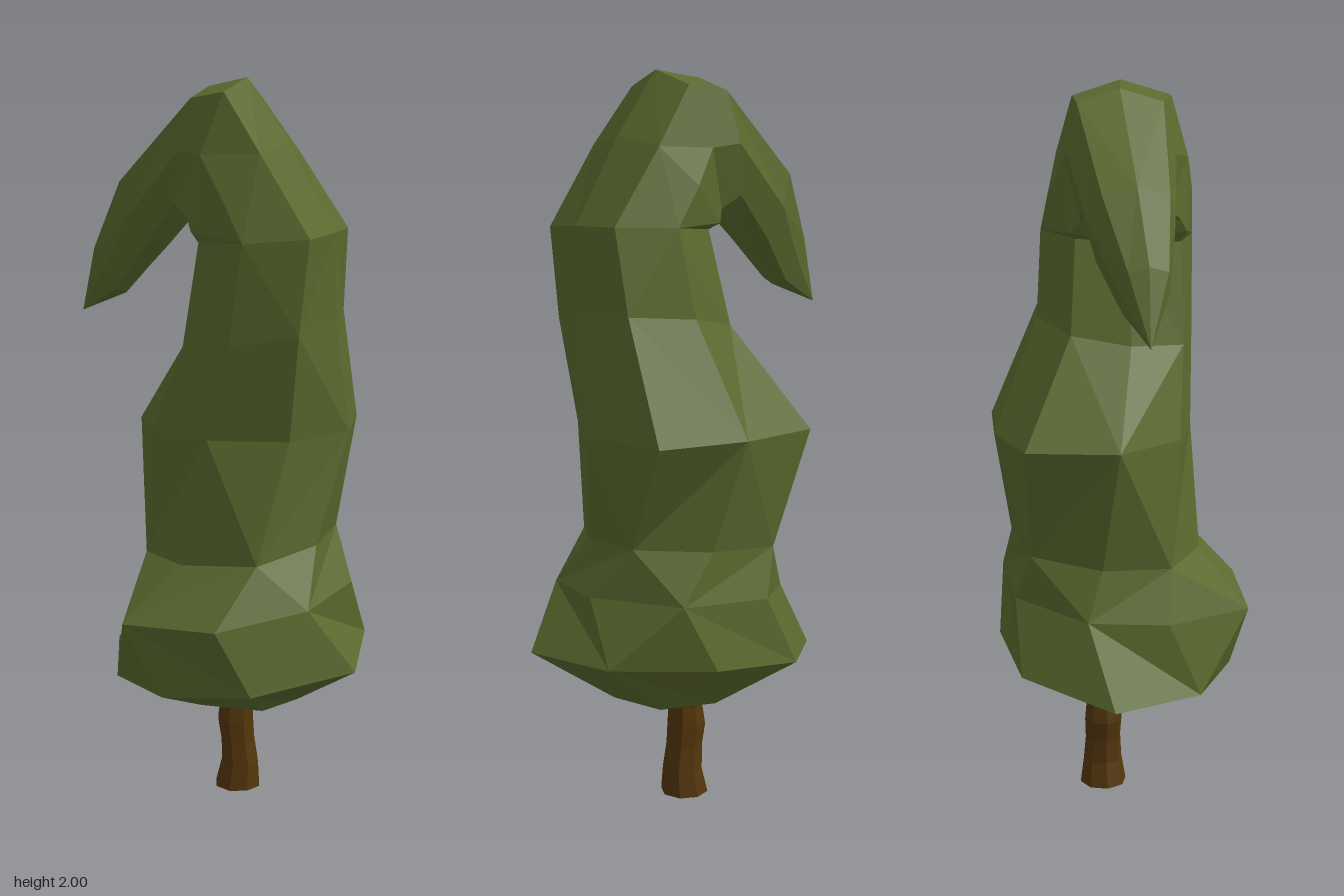
import * as THREE from 'three';

const SIDES = 8;
const rad = THREE.MathUtils.degToRad;

// Level sections of the body: centre, turn in degrees, lean (how far the
// section rises toward the back left) and radii from +x round through +z
const BODY = [
  { c: [0.03, 0.315, 0.0], turn: 0, lean: -0.02, r: [0.2, 0.22, 0.21, 0.25, 0.21, 0.2, 0.2, 0.2] },
  { c: [0.03, 0.41, 0.0], turn: 15, lean: 0.05, r: [0.415, 0.35, 0.31, 0.32, 0.41, 0.37, 0.35, 0.39] },
  { c: [0.03, 0.6, 0.0], turn: 30, lean: 0.035, r: [0.33, 0.37, 0.37, 0.28, 0.3, 0.33, 0.36, 0.34] },
  { c: [0.04, 0.74, -0.04], turn: 15, lean: 0.03, r: [0.26, 0.3, 0.26, 0.26, 0.25, 0.28, 0.27, 0.28] },
  { c: [0.04, 1.06, -0.07], turn: 0, lean: 0, r: [0.31, 0.3, 0.27, 0.27, 0.31, 0.34, 0.285, 0.36] },
  { c: [0.11, 1.34, 0.0], turn: 0, lean: 0.04, r: [0.22, 0.25, 0.22, 0.22, 0.2, 0.22, 0.22, 0.26] },
  { c: [0.15, 1.59, 0.01], turn: 0, lean: 0.015, r: [0.18, 0.23, 0.22, 0.21, 0.18, 0.2, 0.21, 0.23] },
];

// Sections of the drooping top: outer and inner edge in xy, centre and half depth in z
const HOOK = [
  { outer: [0.2, 1.83], inner: [-0.04, 1.58], z: 0.01, depth: 0.2 },
  { outer: [0.08, 2.0], inner: [-0.05, 1.6], z: 0.01, depth: 0.17 },
  { outer: [-0.04, 1.98], inner: [-0.1, 1.64], z: -0.02, depth: 0.145 },
  { outer: [-0.28, 1.75], inner: [-0.19, 1.53], z: -0.03, depth: 0.11 },
  { outer: [-0.37, 1.56], inner: [-0.29, 1.42], z: -0.02, depth: 0.065 },
];
const TIP = [-0.43, 1.365, -0.03];

function bodySection({ c, turn, lean, r }) {
  return r.map((radius, j) => {
    const a = rad(turn + (j * 360) / SIDES);
    return [c[0] + Math.cos(a) * radius, c[1] + lean * Math.cos(a - rad(320)), c[2] + Math.sin(a) * radius];
  });
}

// ellipse with its diagonal corners pushed out a little
function hookSection({ outer, inner, z, depth }) {
  return Array.from({ length: SIDES }, (_, j) => {
    const a = rad((j * 360) / SIDES);
    const full = j % 2 ? 1.13 : 1;
    const s = 0.5 + 0.5 * Math.cos(a) * full;
    return [
      THREE.MathUtils.lerp(inner[0], outer[0], s),
      THREE.MathUtils.lerp(inner[1], outer[1], s),
      z + Math.sin(a) * depth * full,
    ];
  });
}

function foliageGeometry() {
  const rings = [...BODY.map(bodySection), ...HOOK.map(hookSection)];
  const pos = rings.flat(2);
  const index = [];
  const last = rings.length - 1;
  const at = (i, j) => i * SIDES + (j % SIDES);

  // skin between sections, alternating the diagonal
  for (let i = 0; i < last; i++) {
    for (let j = 0; j < SIDES; j++) {
      const a = at(i, j), b = at(i, j + 1), c = at(i + 1, j), d = at(i + 1, j + 1);
      if ((i + j) % 2) index.push(a, c, b, b, c, d);
      else index.push(a, c, d, a, d, b);
    }
  }
  // closed underside and pointed tip
  const under = pos.length / 3;
  pos.push(0.04, 0.3, -0.01, ...TIP);
  for (let j = 0; j < SIDES; j++) {
    index.push(under, at(0, j), at(0, j + 1));
    index.push(at(last, j), under + 1, at(last, j + 1));
  }
  const indexed = new THREE.BufferGeometry();
  indexed.setAttribute('position', new THREE.Float32BufferAttribute(pos, 3));
  indexed.setIndex(index);
  const geo = indexed.toNonIndexed();
  geo.computeVertexNormals();
  return geo;
}

function trunkGeometry() {
  // gnarled stem: flared foot, slight waist and sway
  const profile = [[0, 0], [0.067, 0], [0.056, 0.07], [0.051, 0.14], [0.054, 0.2], [0.048, 0.26], [0.05, 0.34], [0, 0.34]];
  const geo = new THREE.LatheGeometry(profile.map(([x, y]) => new THREE.Vector2(x, y)), 8);
  const p = geo.attributes.position;
  for (let k = 0; k < p.count; k++) {
    p.setX(k, p.getX(k) + 0.007 * Math.sin(p.getY(k) * 22));
  }
  geo.computeVertexNormals();
  return geo;
}

export function createModel() {
  const tree = new THREE.Group();
  tree.name = 'bentTree';

  const leaf = new THREE.MeshStandardMaterial({ color: 0x5a6a2e, flatShading: true });
  const bark = new THREE.MeshStandardMaterial({ color: 0x54360c, flatShading: true });

  const foliage = new THREE.Mesh(foliageGeometry(), leaf);
  foliage.name = 'foliage';

  const trunk = new THREE.Mesh(trunkGeometry(), bark);
  trunk.name = 'trunk';
  trunk.position.set(0.033, 0, -0.055);

  tree.add(foliage, trunk);
  return tree;
}
